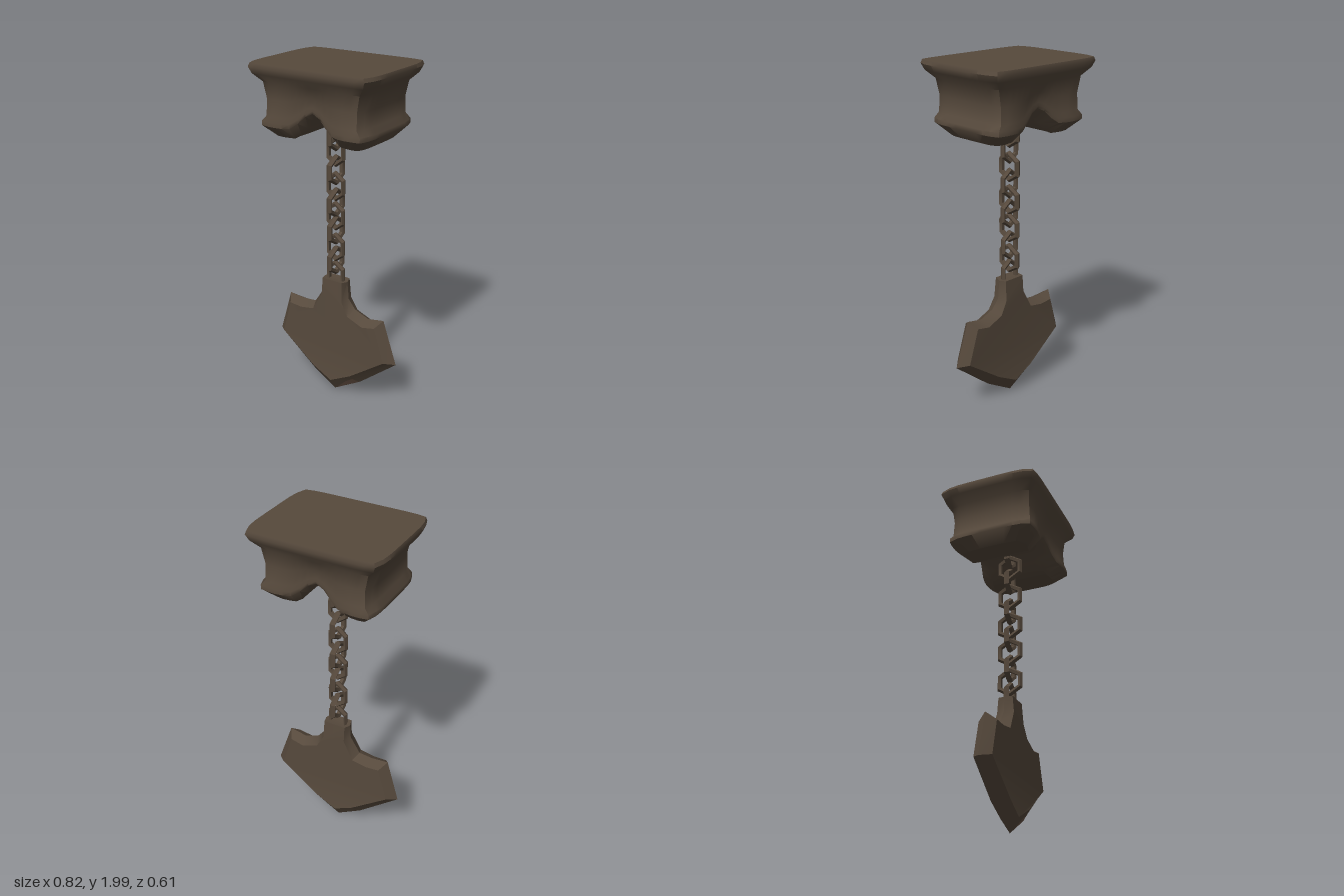
import * as THREE from 'three';
import { mergeVertices, toCreasedNormals } from 'three/addons/utils/BufferGeometryUtils.js';

const darkBrown = new THREE.MeshStandardMaterial({ color: 0x56493c });
darkBrown.name = 'darkBrown';
const wornBrown = new THREE.MeshStandardMaterial({ color: 0x6a5446, side: THREE.DoubleSide });
wornBrown.name = 'wornBrown';

function addMesh(parent, name, geometry, material = darkBrown) {
  const mesh = new THREE.Mesh(geometry, material);
  mesh.name = name;
  parent.add(mesh);
  return mesh;
}

// Ceiling block: a subdivided box shaped by rows of [y, half width, half depth]
function blockGeometry() {
  const rows = [
    [1.6, 0.275, 0.19], [1.665, 0.335, 0.26], [1.69, 0.335, 0.26], [1.72, 0.308, 0.25],
    [1.81, 0.305, 0.245], [1.9, 0.325, 0.252], [1.945, 0.372, 0.29], [1.98, 0.387, 0.304], [2, 0.38, 0.298],
  ];
  const n = rows.length - 1;
  let g = new THREE.BoxGeometry(2, n, 2, 14, n, 10);
  g.deleteAttribute('normal');
  g.deleteAttribute('uv');
  g = mergeVertices(g);
  const p = g.attributes.position;
  for (let i = 0; i < p.count; i++) {
    const nx = p.getX(i), nz = p.getZ(i);
    const [y, hx, hz] = rows[Math.round(p.getY(i) + n / 2)];
    // Clipped corners
    const x = nx * hx * (1 - 0.07 * nz ** 6);
    let z = nz * hz * (1 - 0.04 * nx ** 8);
    // Arch between the two feet, with a valley in front and behind
    const low = THREE.MathUtils.clamp((1.9 - y) / 0.3, 0, 1);
    const arch = 1 - THREE.MathUtils.smoothstep(Math.abs(x), 0, 0.15);
    const valley = 1 - THREE.MathUtils.smoothstep(Math.abs(x), 0, 0.24);
    z *= 1 - 0.22 * valley * low;
    p.setXYZ(i, x, y + 0.125 * arch * low, z);
  }
  return toCreasedNormals(g, 0.75);
}

// Blade outline, anticlockwise from the neck: [edge x, edge y, face x, face y, face half thickness]
const blade = [
  [-0.085, 0.745, -0.07, 0.75, 0.042], [-0.09, 0.66, -0.07, 0.655, 0.05],
  [-0.15, 0.565, -0.13, 0.54, 0.055], [-0.23, 0.558, -0.22, 0.525, 0.055],
  [-0.335, 0.568, -0.3, 0.53, 0.052], [-0.41, 0.31, -0.355, 0.325, 0.052],
  [-0.16, 0.1, -0.13, 0.155, 0.055], [-0.01, 0.01, -0.01, 0.09, 0.052],
  [0.17, 0.115, 0.13, 0.165, 0.055], [0.41, 0.31, 0.355, 0.325, 0.052],
  [0.322, 0.568, 0.29, 0.53, 0.052], [0.22, 0.55, 0.21, 0.515, 0.055],
  [0.13, 0.585, 0.11, 0.555, 0.055], [0.085, 0.64, 0.068, 0.63, 0.05], [0.075, 0.745, 0.062, 0.75, 0.042],
];

// Front ring, edge ring and back ring joined by bevels and closed by two faces
function bladeGeometry() {
  const n = blade.length, pos = [], index = [];
  blade.forEach(([, , x, y, t]) => pos.push(x, y, t));
  blade.forEach(([x, y]) => pos.push(x, y, 0));
  blade.forEach(([, , x, y, t]) => pos.push(x, y, -t));
  for (let r = 0; r < 2; r++) {
    for (let i = 0; i < n; i++) {
      const j = (i + 1) % n, a = r * n + i, b = a + n, c = (r + 1) * n + j, d = r * n + j;
      index.push(a, b, c, a, c, d);
    }
  }
  const face = blade.map(([, , x, y]) => new THREE.Vector2(x, y));
  for (const [a, b, c] of THREE.ShapeUtils.triangulateShape(face, [])) {
    index.push(a, b, c, 2 * n + a, 2 * n + c, 2 * n + b);
  }
  const g = new THREE.BufferGeometry();
  g.setAttribute('position', new THREE.Float32BufferAttribute(pos, 3));
  g.setIndex(index);
  return toCreasedNormals(g, 0.6);
}

// Worn patch laid on the lower bevel to the left of the tip
function chipGeometry() {
  const [tip, side] = [blade[7], blade[8]];
  const onBevel = (u, v) => {
    const mix = (k) => THREE.MathUtils.lerp(tip[k], side[k], u);
    const l = THREE.MathUtils.lerp;
    return [l(mix(0), mix(2), v), l(mix(1), mix(3), v), mix(4) * v + 0.004];
  };
  const pos = [[0.1, 0.05], [0.98, 0.05], [0.95, 0.6], [0.6, 0.5]].flatMap(([u, v]) => onBevel(u, v));
  const g = new THREE.BufferGeometry();
  g.setAttribute('position', new THREE.Float32BufferAttribute(pos, 3));
  g.setIndex([0, 1, 3, 1, 2, 3]);
  g.computeVertexNormals();
  return g;
}

export function createModel() {
  const model = new THREE.Group();
  model.name = 'hangingChainBlade';

  addMesh(model, 'ceilingBlock', blockGeometry());

  // Chain of six-sided links, each turned a quarter from the last
  const chain = new THREE.Group();
  chain.name = 'chain';
  model.add(chain);
  const link = toCreasedNormals(new THREE.TorusGeometry(0.075, 0.017, 5, 6).rotateZ(Math.PI / 6), 0.4);
  const heights = [1.68, 1.6, 1.51, 1.405, 1.31, 1.215, 1.135, 1.05, 0.945, 0.865, 0.775];
  heights.forEach((y, i) => {
    const sideways = i % 2 === 1;
    const mesh = addMesh(chain, sideways ? 'sideLink' : 'frontLink', link);
    mesh.position.set(-0.005, y, 0);
    mesh.rotation.y = sideways ? Math.PI / 2 : 0;
    mesh.scale.set(sideways ? 0.95 : 0.75, 0.98, 1);
  });

  // Blade with a worn patch on each face
  addMesh(model, 'blade', bladeGeometry());
  const chip = chipGeometry();
  addMesh(model, 'frontWornPatch', chip, wornBrown);
  addMesh(model, 'backWornPatch', chip, wornBrown).rotation.y = Math.PI;

  return model;
}
